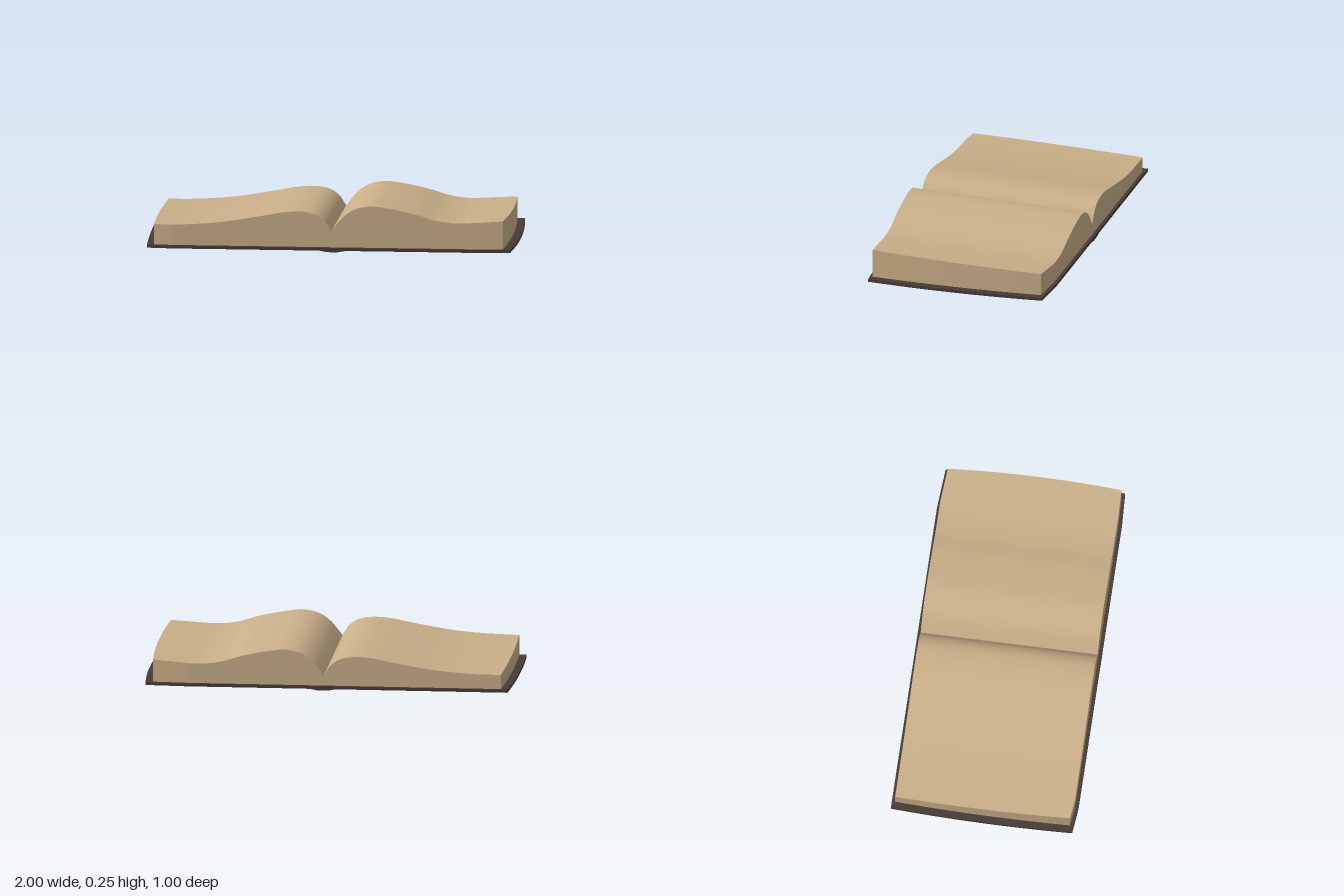
import * as THREE from 'three';

const pageMat = new THREE.MeshStandardMaterial({ color: 0xc9ae88 });
pageMat.name = 'paper';
const coverMat = new THREE.MeshStandardMaterial({ color: 0x483b38 });
coverMat.name = 'dark leather';

const ramp = (x, a, b) => Math.min(1, Math.max(0, (x - a) / (b - a)));

// Smooth height curve through [x, y] points, looked up by x
function heightCurve(points) {
  const samples = new THREE.SplineCurve(points.map(p => new THREE.Vector2(...p))).getPoints(240);
  return x => {
    let k = 1;
    while (k < samples.length - 1 && samples[k].x < x) k++;
    const a = samples[k - 1], b = samples[k];
    return a.y + (b.y - a.y) * ramp(x, a.x, b.x);
  };
}

// Surface from a grid of points; smooth inside, sharp at its borders
function sheet(cols, rows, at) {
  const pos = [], index = [];
  for (let i = 0; i <= cols; i++)
    for (let j = 0; j <= rows; j++) pos.push(...at(i / cols, j / rows));
  for (let i = 0; i < cols; i++)
    for (let j = 0; j < rows; j++) {
      const a = i * (rows + 1) + j, c = a + rows + 1;
      index.push(a, a + 1, c, a + 1, c + 1, c);
    }
  const g = new THREE.BufferGeometry();
  g.setAttribute('position', new THREE.Float32BufferAttribute(pos, 3));
  g.setIndex(index);
  g.computeVertexNormals();
  return g;
}

// Closed slab: plan(u, v) gives [x, z]; top and bottom give heights
function slab(name, mat, cols, rows, plan, top, bottom) {
  const group = new THREE.Group();
  group.name = name;
  const add = (part, geometry) => {
    const mesh = new THREE.Mesh(geometry, mat);
    mesh.name = name + part;
    group.add(mesh);
  };
  const point = (u, v, h) => {
    const [x, z] = plan(u, v);
    return [x, h(x, z, u, v), z];
  };
  add('Top', sheet(cols, rows, (u, v) => point(u, v, top)));
  add('Bottom', sheet(cols, rows, (u, v) => point(1 - u, v, bottom)));
  // Walls run anticlockwise seen from above
  const wall = (part, n, path) =>
    add(part, sheet(n, 1, (s, t) => point(...path(s), t ? bottom : top)));
  wall('Front', cols, s => [s, 1]);
  wall('Right', rows, s => [1, 1 - s]);
  wall('Back', cols, s => [1 - s, 0]);
  wall('Left', rows, s => [0, s]);
  return group;
}

// Bulged ends and slightly clipped corners
function plan(x0, x1, bulge0, bulge1, front, back) {
  return (u, v) => {
    const b = 1 - (2 * v - 1) ** 2;
    const flatX = x0 + (x1 - x0) * u;
    const x = flatX - bulge0 * b * (1 - u) + bulge1 * b * u;
    const z0 = back(flatX), z1 = front(flatX);
    return [x, z0 + (z1 - z0) * v];
  };
}

export function createModel() {
  const book = new THREE.Group();
  book.name = 'openBook';

  // Cover with a shallow spine ridge beneath
  book.add(slab('cover', coverMat, 80, 16,
    plan(-0.987, 0.977, 0.012, 0.022,
      x => 0.5 - 0.014 * ramp(x, -0.85, -0.987) - 0.009 * ramp(x, 0.8, 0.977),
      x => -0.502 + 0.015 * ramp(x, 0.75, 0.977)),
    () => 0.024,
    (x, z) => 0.008 - 0.008 * (1 - ramp(Math.abs(x - 0.015), 0.03, 0.07)) * (0.4 + 2.4 * z * z)));

  // Page blocks, lower toward the back
  const leftHeight = heightCurve([[-0.97, 0.135], [-0.8, 0.137], [-0.6, 0.152], [-0.4, 0.184],
    [-0.26, 0.21], [-0.16, 0.217], [-0.08, 0.204], [-0.03, 0.172], [-0.008, 0.142], [0.01, 0.113]]);
  const rightHeight = heightCurve([[0.01, 0.113], [0.04, 0.152], [0.08, 0.196], [0.14, 0.234],
    [0.22, 0.25], [0.31, 0.241], [0.45, 0.213], [0.57, 0.178], [0.68, 0.164], [0.8, 0.169], [0.96, 0.18]]);
  const tilted = h => (x, z) => h(x) - 0.033 * (0.48 - z) / 0.96;
  const front = x => 0.481 - 0.012 * ramp(x, -0.85, -0.95) - 0.004 * ramp(x, 0.8, 0.938);
  const back = x => -0.484 + 0.014 * ramp(x, 0.75, 0.938);
  book.add(slab('leftPages', pageMat, 64, 16,
    plan(-0.95, 0.01, 0.01, 0, front, back), tilted(leftHeight), () => 0.022));
  book.add(slab('rightPages', pageMat, 64, 16,
    plan(0.01, 0.938, 0, 0.017, front, back), tilted(rightHeight), () => 0.022));

  return book;
}
